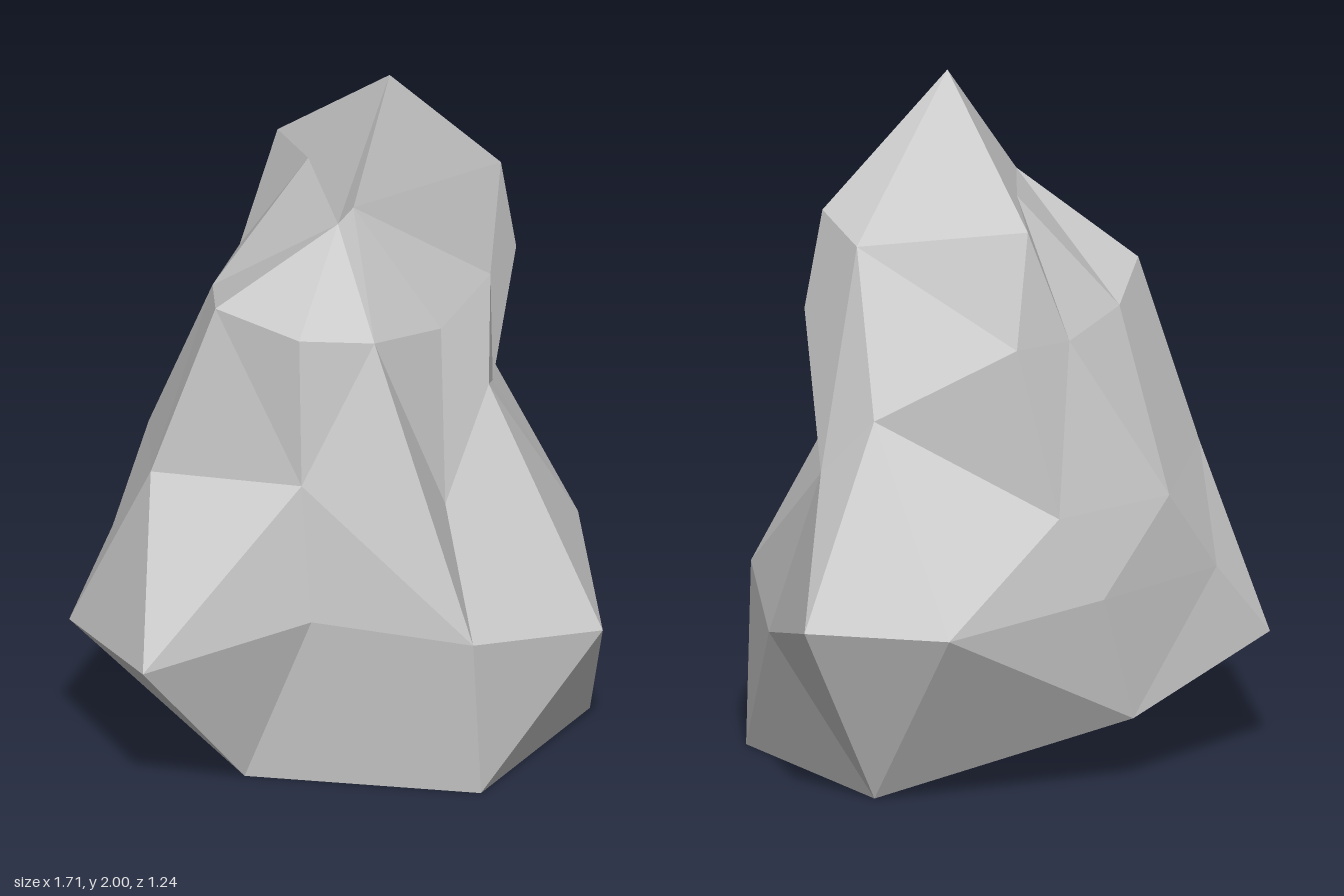
import * as THREE from 'three';

// Irregular cross-sections, bottom to top; each runs front -> +x -> back -> -x.
const foot = [[-.46, 0, .04], [-.06, 0, .59], [.57, 0, .38], [.56, 0, -.29], [-.13, .2, -.57]];
const belly = [
  [-.39, .52, .24], [-.11, .48, .61], [.39, .375, .62], [.61, .57, .29], [.7, .43, .05], [.85, .55, -.38],
  [.51, .53, -.61], [0, .58, -.62], [-.44, .59, -.52], [-.63, .365, -.5], [-.86, .44, .04],
];
const waist = [
  [-.39, .93, .2], [-.15, .91, .45], [.05, .78, .33], [.25, 1.08, .3], [.4, 1, .16],
  [.67, .95, -.18], [.58, 1.12, -.32], [.13, .83, -.59], [-.25, .84, -.57], [-.55, .88, -.25],
];
const ridge = [.5, 1.57, -.1]; // shared by shoulder and crown
const shoulder = [
  [-.38, 1.37, .18], [-.19, 1.34, .29], [.11, 1.28, .25], [.41, 1.32, .14], [.55, 1.35, .1],
  ridge, [.24, 1.33, -.54], [.04, 1.32, -.5], [-.24, 1.34, -.32], [-.44, 1.4, -.1],
];
const crown = [[-.17, 1.65, .12], [-.09, 1.67, .1], [.49, 1.63, .1], ridge, [.16, 1.65, -.47], [.04, 1.68, -.22]];
const peak = [.11, 2, .04];

export function createModel() {
  const positions = [];
  const tri = (a, b, c) => {
    if (a !== b && b !== c && c !== a) positions.push(...a, ...b, ...c);
  };

  // Zips two rings together: 'l' steps along the lower ring, 'u' along the upper.
  const stitch = (lower, upper, steps) => {
    let i = 0, j = 0;
    for (const step of steps) {
      const a = lower[i % lower.length], b = upper[j % upper.length];
      if (step === 'l') tri(a, lower[++i % lower.length], b);
      else tri(a, upper[++j % upper.length], b);
    }
  };

  stitch(foot, belly, 'luuluuluuluuuluu');
  stitch(belly, waist, 'luululuullululululllul'.replace('lllul', 'llul'));
  stitch(waist, shoulder, 'ul' + 'lu'.repeat(9));
  stitch(shoulder, crown, 'lullullulululull');

  // Peak
  crown.forEach((p, i) => tri(p, crown[(i + 1) % crown.length], peak));

  // Underside, fanned from the back corner
  const [f0, f1, f2, f3, f4] = foot;
  tri(f3, f2, f1);
  tri(f3, f1, f0);
  tri(f3, f0, f4);

  const geometry = new THREE.BufferGeometry();
  geometry.setAttribute('position', new THREE.Float32BufferAttribute(positions, 3));
  geometry.computeVertexNormals();

  const rock = new THREE.Mesh(geometry, new THREE.MeshStandardMaterial({ color: 0xcccccc, flatShading: true }));
  rock.name = 'rock';
  const group = new THREE.Group();
  group.name = 'boulder';
  group.add(rock);
  return group;
}
